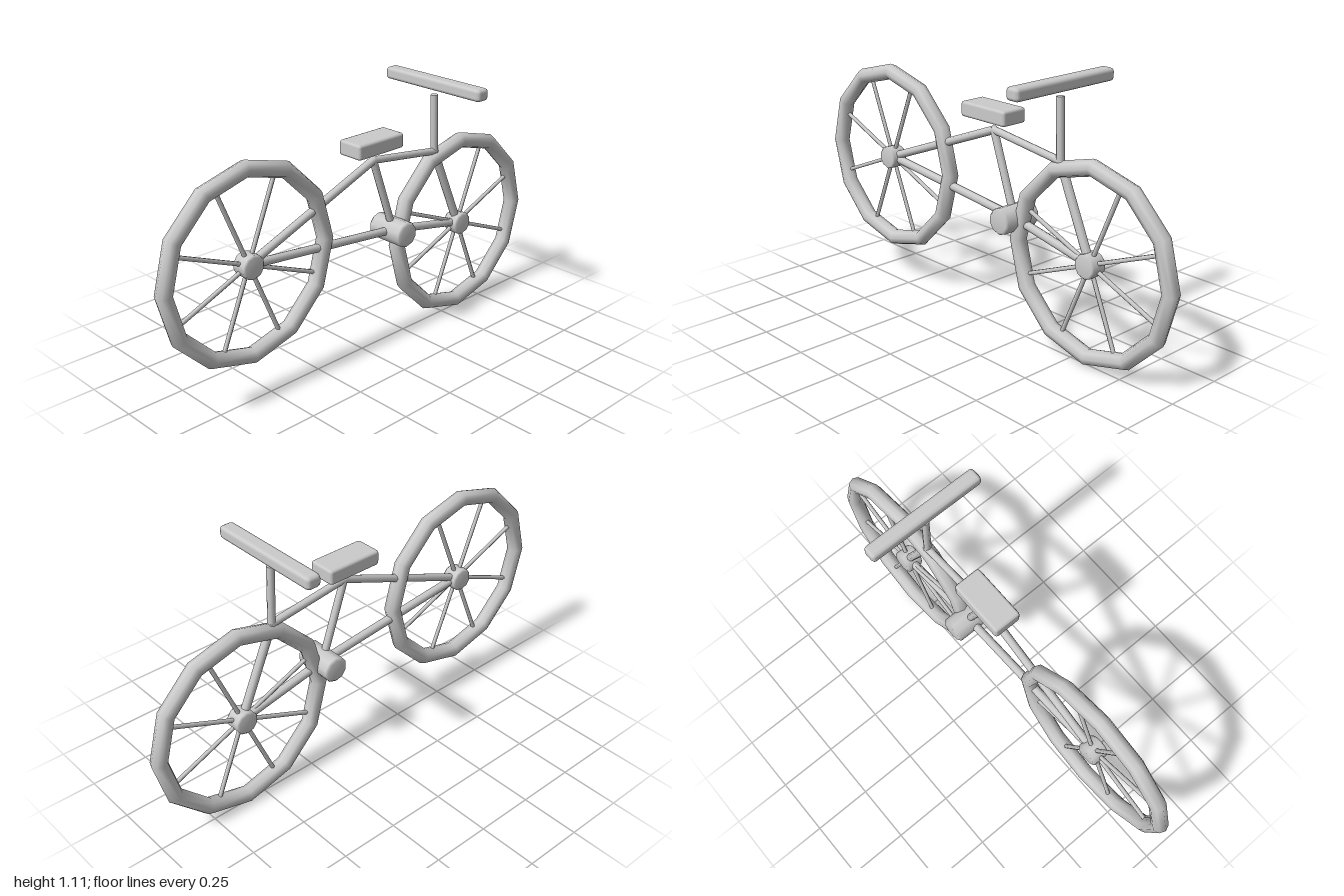
import * as THREE from 'three';
import { RoundedBoxGeometry } from 'three/addons/geometries/RoundedBoxGeometry.js';

const grey = new THREE.MeshStandardMaterial({ color: 0xcccccc });

function add(parent, name, geometry, x = 0, y = 0, z = 0) {
  const mesh = new THREE.Mesh(geometry, grey);
  mesh.name = name;
  mesh.position.set(x, y, z);
  parent.add(mesh);
  return mesh;
}

// Straight round tube between two points in the frame plane
function tube(parent, name, a, b, radius, sides = 8) {
  const start = new THREE.Vector3(a[0], a[1], 0);
  const end = new THREE.Vector3(b[0], b[1], 0);
  const dir = end.clone().sub(start);
  const mesh = add(parent, name, new THREE.CylinderGeometry(radius, radius, dir.length(), sides));
  mesh.position.copy(start).add(end).multiplyScalar(0.5);
  mesh.quaternion.setFromUnitVectors(new THREE.Vector3(0, 1, 0), dir.normalize());
  return mesh;
}

// Drum with chamfered rims, lying along z
function drum(parent, name, radius, half, chamfer, x, y) {
  const profile = [
    [0, -half], [radius - chamfer, -half], [radius, -half + chamfer],
    [radius, half - chamfer], [radius - chamfer, half], [0, half],
  ].map(([r, h]) => new THREE.Vector2(r, h));
  const mesh = add(parent, name, new THREE.LatheGeometry(profile, 10), x, y);
  mesh.rotation.x = Math.PI / 2;
  return mesh;
}

// Twelve-sided rim, hub and eight spokes
function wheel(name, x, y) {
  const group = new THREE.Group();
  group.name = name;
  group.position.set(x, y, 0);
  add(group, 'tyre', new THREE.TorusGeometry(0.381, 0.034, 8, 12));
  drum(group, 'hub', 0.05, 0.038, 0.008, 0, 0);
  for (let i = 0; i < 8; i++) {
    const a = (i + 0.5) * Math.PI / 4;
    tube(group, 'spoke', [0, 0], [Math.cos(a) * 0.37, Math.sin(a) * 0.37], 0.009, 6);
  }
  return group;
}

export function createModel() {
  const model = new THREE.Group();
  model.name = 'bicycle';

  const rear = [-0.585, 0.582], front = [0.585, 0.418];
  const seatJoint = [0.062, 0.835], crank = [0.179, 0.5], headJoint = [0.423, 0.787];

  model.add(wheel('rearWheel', ...rear), wheel('frontWheel', ...front));

  // Frame
  tube(model, 'seatStay', rear, seatJoint, 0.017);
  tube(model, 'chainStay', rear, crank, 0.018);
  tube(model, 'seatTube', seatJoint, crank, 0.016);
  tube(model, 'topTube', seatJoint, headJoint, 0.016);
  tube(model, 'lowerTube', crank, front, 0.018);
  tube(model, 'fork', headJoint, front, 0.018);
  tube(model, 'stem', headJoint, [0.415, 1.035], 0.016);
  for (const p of [seatJoint, headJoint])
    add(model, 'frameJoint', new THREE.SphereGeometry(0.017, 8, 6), p[0], p[1]);

  // Crank housing, seat and handlebar
  drum(model, 'crankHousing', 0.055, 0.09, 0.01, ...crank);
  add(model, 'seat', new RoundedBoxGeometry(0.248, 0.064, 0.12, 1, 0.012), 0.054, 0.907);
  add(model, 'handlebar', new RoundedBoxGeometry(0.064, 0.053, 0.52, 1, 0.016), 0.421, 1.083);

  return model;
}
